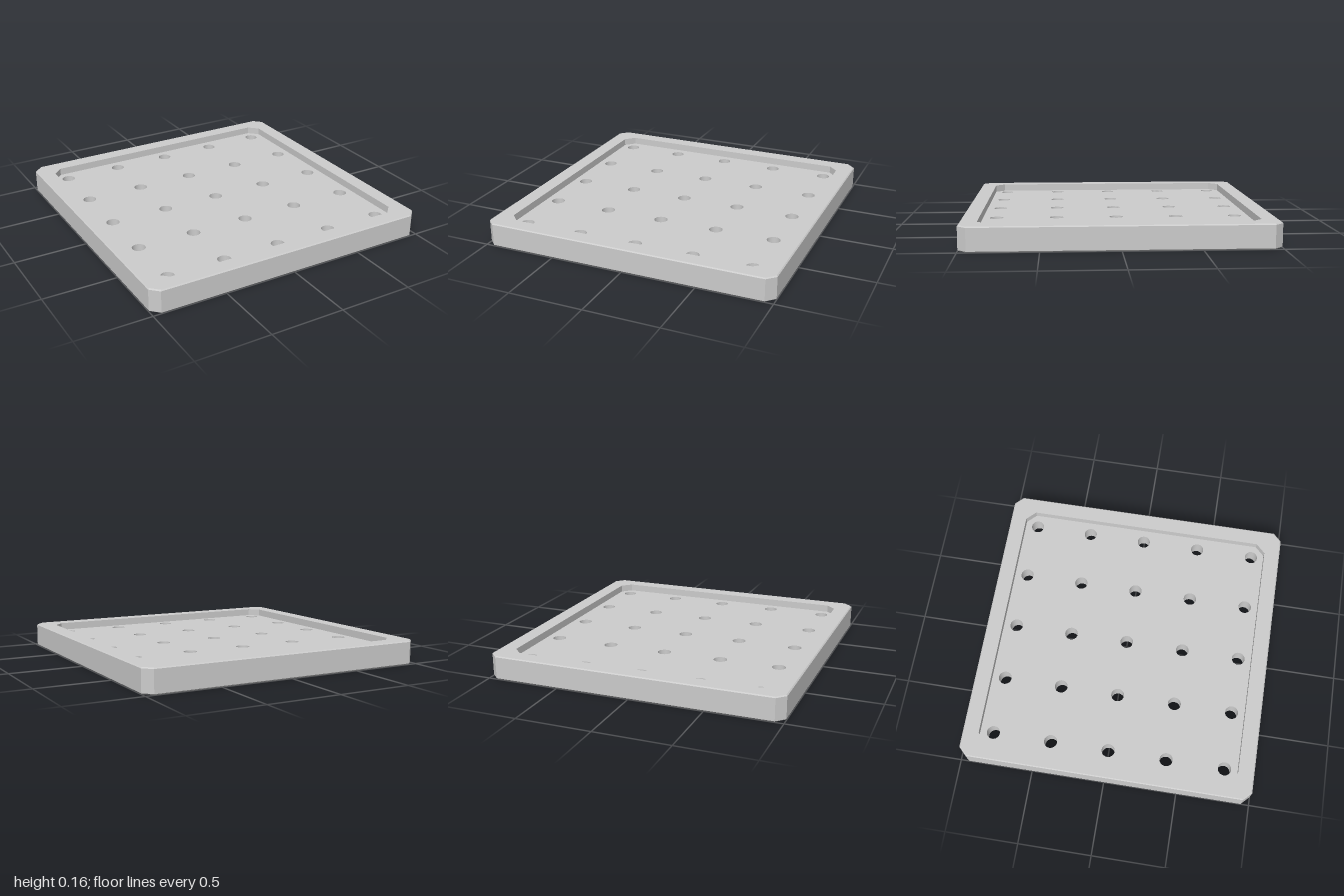
import * as THREE from 'three';

const HEIGHT = 0.16, FLOOR = 0.11, HOLE_R = 0.045;

// Square with cut corners, counter-clockwise: half width h, corner cut c
function octagon(h, c) {
  const k = h - c;
  return [[h, -k], [h, k], [k, h], [-k, h], [-h, k], [-h, -k], [-k, -h], [k, -h]];
}

// Walls running through a list of octagonal sections
function loft(sections) {
  const pos = [];
  const rings = sections.map(([h, c, y]) => octagon(h, c).map(([x, z]) => [x, y, z]));
  for (let k = 0; k < rings.length - 1; k++) {
    for (let i = 0; i < 8; i++) {
      const j = (i + 1) % 8;
      const a = rings[k][i], b = rings[k + 1][i], c = rings[k + 1][j], d = rings[k][j];
      pos.push(...a, ...b, ...c, ...a, ...c, ...d);
    }
  }
  const geo = new THREE.BufferGeometry();
  geo.setAttribute('position', new THREE.Float32BufferAttribute(pos, 3));
  geo.computeVertexNormals();
  return geo;
}

export function createModel() {
  const group = new THREE.Group();
  const mat = new THREE.MeshStandardMaterial({ color: 0xcccccc });
  const holeMat = new THREE.MeshStandardMaterial({ color: 0xcccccc, side: THREE.DoubleSide });
  const add = (name, geo, material = mat) => {
    const mesh = new THREE.Mesh(geo, material);
    mesh.name = name;
    group.add(mesh);
    return mesh;
  };

  // 5 x 5 grid of hole centres
  const holes = [];
  for (let i = -2; i <= 2; i++) for (let j = -2; j <= 2; j++) holes.push([i * 0.4, j * 0.4]);

  // Outer wall with fine bevels, flat rim and inner wall down to the floor
  add('rim', loft([
    [0.993, 0.053, 0], [1, 0.056, 0.007], [1, 0.056, HEIGHT - 0.007],
    [0.993, 0.053, HEIGHT], [0.89, 0.063, HEIGHT], [0.89, 0.063, FLOOR],
  ]));

  // Perforated sheets: tray floor and underside
  const sheet = (h, c) => {
    const shape = new THREE.Shape(octagon(h, c).map(([x, y]) => new THREE.Vector2(x, y)));
    for (const [x, y] of holes) {
      shape.holes.push(new THREE.Path().absarc(x, y, HOLE_R, 0, Math.PI * 2, true));
    }
    return new THREE.ShapeGeometry(shape, 16);
  };
  add('floor', sheet(0.89, 0.063).rotateX(-Math.PI / 2)).position.y = FLOOR;
  add('underside', sheet(0.993, 0.053).rotateX(Math.PI / 2));

  // Walls of the drain holes
  const wall = new THREE.CylinderGeometry(HOLE_R, HOLE_R, FLOOR, 32, 1, true);
  for (const [x, z] of holes) add('holeWall', wall, holeMat).position.set(x, FLOOR / 2, z);

  return group;
}
